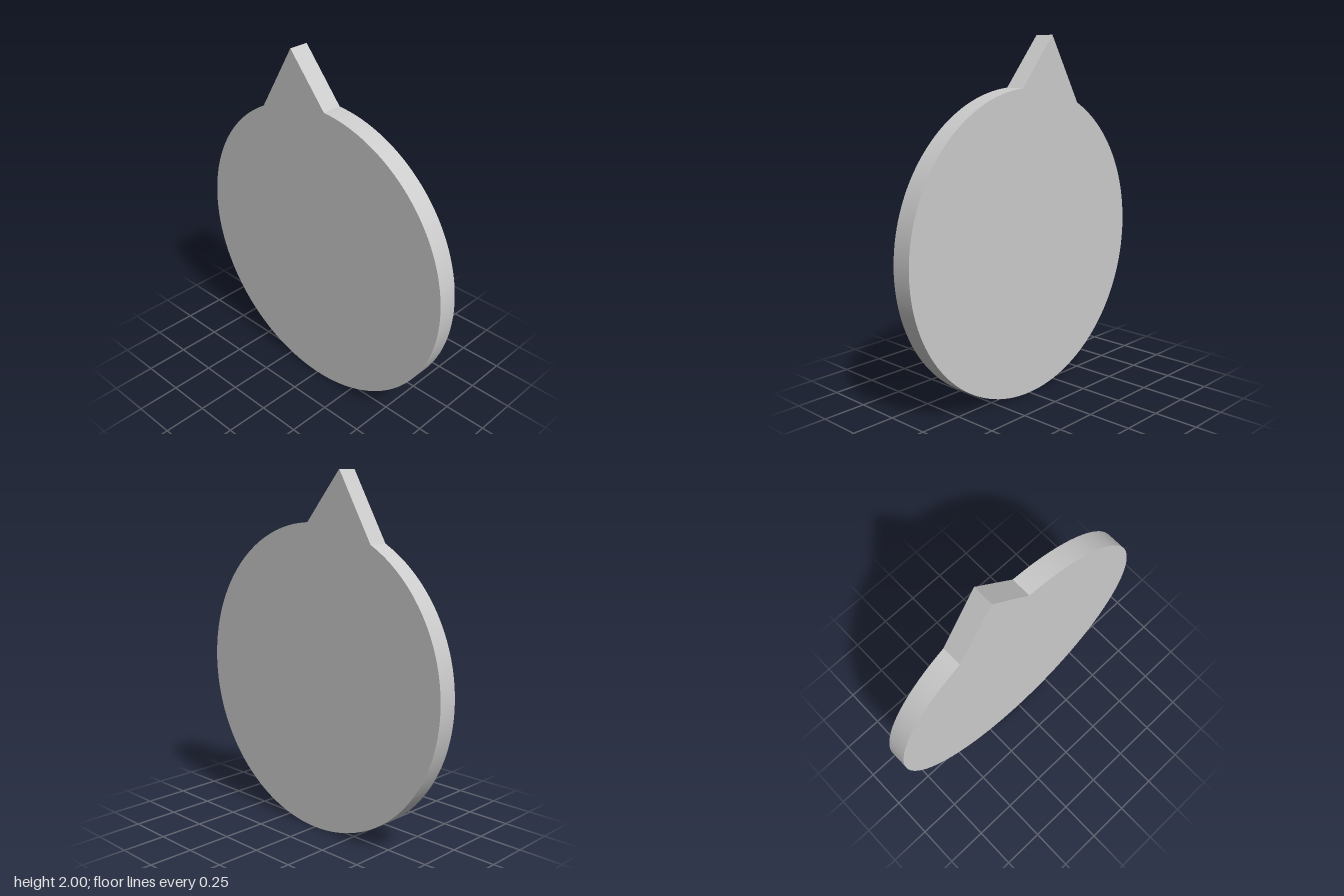
import * as THREE from 'three';
import { toCreasedNormals } from 'three/addons/utils/BufferGeometryUtils.js';

const RADIUS = 0.862;
const THICKNESS = 0.115;

export function createModel() {
  const group = new THREE.Group();
  group.name = 'pointedDisc';

  // Disc outline, running clockwise from the right foot of the pointer to its left foot
  const rightFoot = Math.atan2(0.863, 0.055);
  const leftFoot = Math.atan2(0.766, -0.4);
  const outline = new THREE.Shape();
  outline.absarc(0, RADIUS, RADIUS, rightFoot, leftFoot, true);

  // Off-centre pointer tip
  outline.lineTo(-0.18, 2);
  outline.closePath();

  // Flat plate with a smooth rim and sharp edges
  const plate = new THREE.ExtrudeGeometry(outline, {
    depth: THICKNESS,
    bevelEnabled: false,
    curveSegments: 64,
  });
  plate.translate(0, 0, -THICKNESS / 2);

  const disc = new THREE.Mesh(
    toCreasedNormals(plate, Math.PI / 9),
    new THREE.MeshStandardMaterial({ color: 0xcccccc })
  );
  disc.name = 'discWithPointer';
  group.add(disc);
  return group;
}
